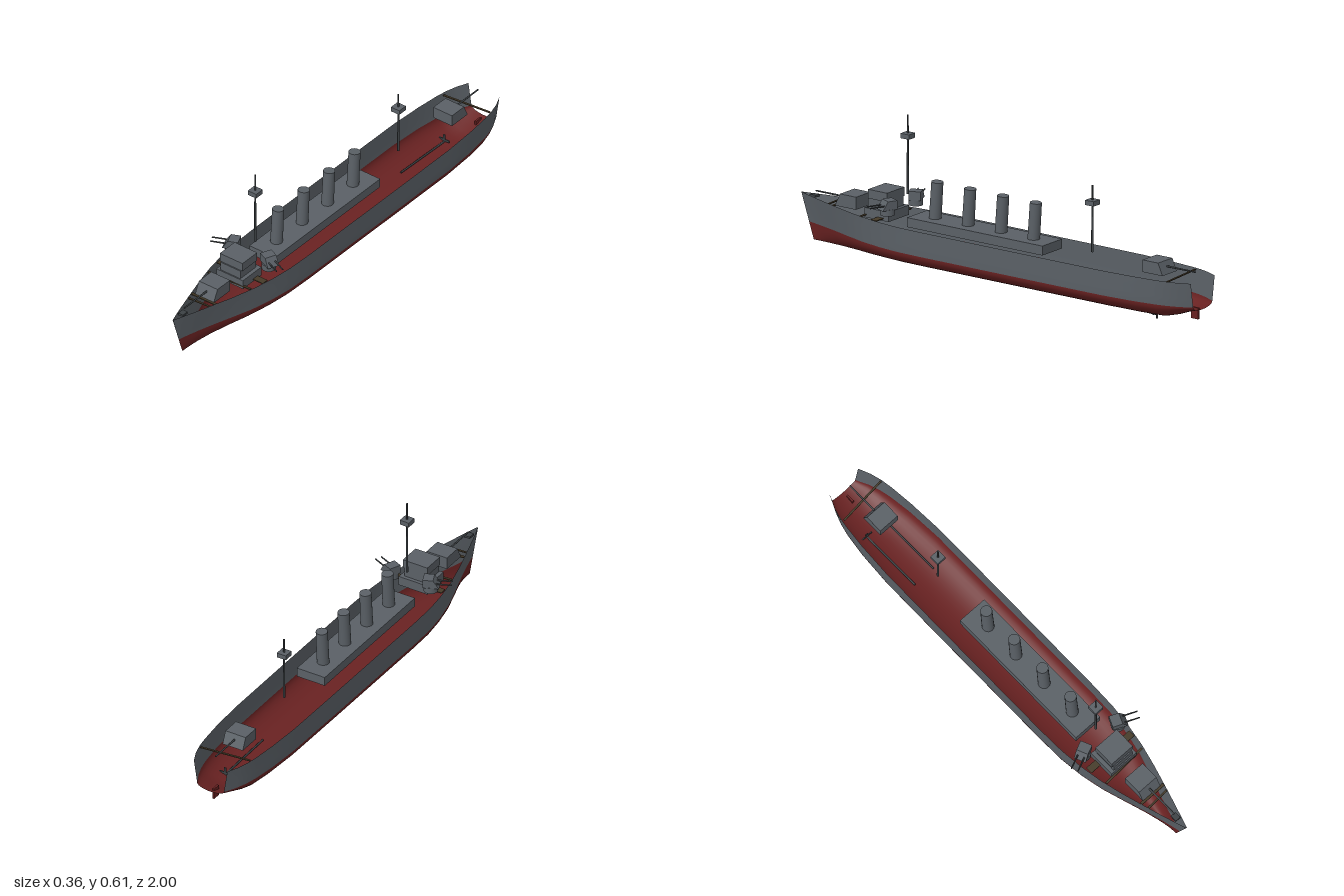
import * as THREE from 'three';

const mat = (name, color, side = THREE.FrontSide) => {
  const m = new THREE.MeshStandardMaterial({ color, side });
  m.name = name;
  return m;
};

// Hull stations: z, half width at the sheer, keel height, waterline width ratio
const STATIONS = [
  [-1, 0.078, 0.06, 0.8], [-0.95, 0.1, 0.045, 0.88], [-0.9, 0.114, 0.026, 0.93],
  [-0.85, 0.122, 0.012, 0.96], [-0.75, 0.132, 0.01, 0.99], [-0.6, 0.14, 0.01, 1],
  [-0.3, 0.141, 0.01, 1], [0, 0.141, 0.01, 1], [0.3, 0.141, 0.01, 1], [0.42, 0.138, 0.01, 1],
  [0.52, 0.128, 0.01, 0.98], [0.62, 0.111, 0.01, 0.94], [0.72, 0.086, 0.01, 0.88],
  [0.82, 0.057, 0.01, 0.8], [0.9, 0.033, 0.01, 0.72], [0.96, 0.014, 0.01, 0.65], [1, 0.001, 0.01, 0.6],
];
const WATER = 0.08;
const sheer = (z) => 0.182 + 0.014 * Math.max(0, (z - 0.4) / 0.6) ** 1.5;

function halfWidth(z) {
  for (let i = 1; i < STATIONS.length; i++) {
    const [z0, w0] = STATIONS[i - 1], [z1, w1] = STATIONS[i];
    if (z <= z1) return w0 + ((w1 - w0) * (z - z0)) / (z1 - z0);
  }
  return 0;
}

// Open shell lofted through the stations, red below the waterline
function hullGeometry() {
  const LOW = 9, UP = 3, HALF = LOW + UP, N = 2 * HALF + 1;
  const pos = [];
  for (const [z, w, keel, ratio] of STATIONS) {
    for (let j = -HALF; j <= HALF; j++) {
      const a = Math.abs(j), s = Math.sign(j);
      let x, y;
      if (a <= LOW) {
        const t = ((a / LOW) * Math.PI) / 2;
        x = w * ratio * Math.sin(t);
        y = WATER - (WATER - keel) * Math.cos(t);
      } else {
        const t = (a - LOW) / UP;
        x = w * (ratio + (1 - ratio) * t);
        y = WATER + (sheer(z) - WATER) * t;
      }
      const rake = 0.065 * Math.max(0, (z - 0.6) / 0.4) * (1 - y / sheer(z));
      pos.push(s * x, y, z - rake);
    }
  }
  const red = [], grey = [];
  for (let i = 0; i < STATIONS.length - 1; i++) {
    for (let j = 0; j < N - 1; j++) {
      const a = i * N + j, b = a + 1, c = a + N, d = c + 1;
      (j >= UP && j < UP + 2 * LOW ? red : grey).push(a, b, c, b, d, c);
    }
  }
  const g = new THREE.BufferGeometry();
  g.setAttribute('position', new THREE.Float32BufferAttribute(pos, 3));
  g.setIndex([...red, ...grey]);
  g.addGroup(0, red.length, 0);
  g.addGroup(red.length, grey.length, 1);
  g.computeVertexNormals();
  return g;
}

export function createModel() {
  const ship = new THREE.Group();
  ship.name = 'warship';
  const grey = mat('hull grey', 0x5a6066);
  const hullGrey = mat('hull side grey', 0x5a6066, THREE.DoubleSide);
  hullGrey.name = 'hull grey';
  const red = mat('bottom red', 0x6a2222, THREE.DoubleSide);
  const dark = mat('gunmetal', 0x3c4144);
  const wood = mat('deck brown', 0x453a28);

  const add = (parent, name, geo, material, x = 0, y = 0, z = 0) => {
    const m = new THREE.Mesh(geo, material);
    m.name = name;
    m.position.set(x, y, z);
    parent.add(m);
    return m;
  };
  // Box given by its half width, height range and z range
  const block = (name, hw, y0, y1, z0, z1, material = grey) =>
    add(ship, name, new THREE.BoxGeometry(2 * hw, y1 - y0, z1 - z0), material, 0, (y0 + y1) / 2, (z0 + z1) / 2);

  add(ship, 'hull', hullGeometry(), [red, hullGrey]);

  // Deck beams across the open hull
  for (const [z, depth, yaw] of [[0.555, 0.03, 0], [0.635, 0.01, 0.06], [0.8, 0.012, 0], [0.83, 0.008, 0.06], [-0.89, 0.008, 0.1]]) {
    const beam = add(ship, 'deckBeam', new THREE.BoxGeometry(1.9 * halfWidth(z), 0.004, depth), wood, 0, sheer(z) - 0.004, z);
    beam.rotation.y = yaw;
  }
  block('bowFitting', 0.012, 0.188, 0.197, 0.92, 0.95, dark);

  // Deckhouse and four raked funnels
  block('deckhouse', 0.065, 0.165, 0.204, -0.25, 0.425);
  for (const z of [-0.158, 0.005, 0.169, 0.333]) {
    const funnel = add(ship, 'funnel', new THREE.CylinderGeometry(0.024, 0.025, 0.155, 20), grey, 0, 0.278, z - 0.005);
    funnel.rotation.x = -0.07;
  }

  // Bridge tiers
  block('bridgeBase', 0.067, 0.17, 0.21, 0.515, 0.635);
  block('bridgeMiddle', 0.05, 0.21, 0.247, 0.53, 0.63);
  block('bridgeTop', 0.057, 0.247, 0.284, 0.53, 0.625);

  // Masts with lookout platforms
  for (const [name, z, base, top, platform] of [['foreMast', 0.47, 0.28, 0.605, 0.52], ['mainMast', -0.45, 0.2, 0.475, 0.405]]) {
    add(ship, name, new THREE.CylinderGeometry(0.0035, 0.005, top - base, 10), dark, 0, (base + top) / 2, z);
    block(name + 'Platform', 0.021, platform - 0.01, platform + 0.01, z - 0.021, z + 0.021);
  }

  // Turret with a sloped face, pointing along +z of its group
  function turret(name, width, length, height, slope, barrelX, barrelY, barrelLength, r) {
    const g = new THREE.Group();
    g.name = name;
    const side = new THREE.Shape([
      new THREE.Vector2(-length / 2, 0), new THREE.Vector2(length / 2, 0),
      new THREE.Vector2(length / 2 - slope, height), new THREE.Vector2(-length / 2, height),
    ]);
    const body = new THREE.ExtrudeGeometry(side, { depth: width, bevelEnabled: false });
    body.translate(0, 0, -width / 2).rotateY(-Math.PI / 2);
    add(g, 'gunHouse', body, grey);
    for (const x of barrelX) {
      const barrel = new THREE.CylinderGeometry(r * 0.8, r, barrelLength, 10).rotateX(Math.PI / 2);
      add(g, 'barrel', barrel, dark, x, barrelY, length / 2 - slope + barrelLength / 2);
    }
    ship.add(g);
    return g;
  }
  turret('foreTurret', 0.094, 0.105, 0.052, 0.025, [0], 0.028, 0.155, 0.004).position.set(0, 0.185, 0.745);
  const aft = turret('aftTurret', 0.094, 0.1, 0.05, 0.022, [0], 0.028, 0.15, 0.004);
  aft.position.set(0, 0.178, -0.785);
  aft.rotation.y = Math.PI;

  for (const s of [1, -1]) {
    // Twin-gun side turrets on drums
    const t = turret('sideTurret', 0.05, 0.066, 0.037, 0.024, [-0.014, 0.014], 0.017, 0.075, 0.0035);
    t.position.set(s * 0.096, 0.233, 0.5);
    t.rotation.y = s * 1.16;
    add(ship, 'sideTurretDrum', new THREE.CylinderGeometry(0.029, 0.029, 0.026, 20), grey, s * 0.092, 0.222, 0.5);

    // Propeller shafts and four-bladed propellers
    const shaft = add(ship, 'propellerShaft', new THREE.CylinderGeometry(0.004, 0.004, 0.28, 8), dark, s * 0.05, 0.021, -0.67);
    shaft.rotation.x = Math.PI / 2 - 0.025;
    for (const a of [0, Math.PI / 2]) {
      const blade = add(ship, 'propellerBlade', new THREE.BoxGeometry(0.01, 0.05, 0.004), dark, s * 0.05, 0.025, -0.81);
      blade.rotation.z = a;
    }
  }
  block('rudder', 0.004, 0.015, 0.062, -0.98, -0.945, red);

  return ship;
}
